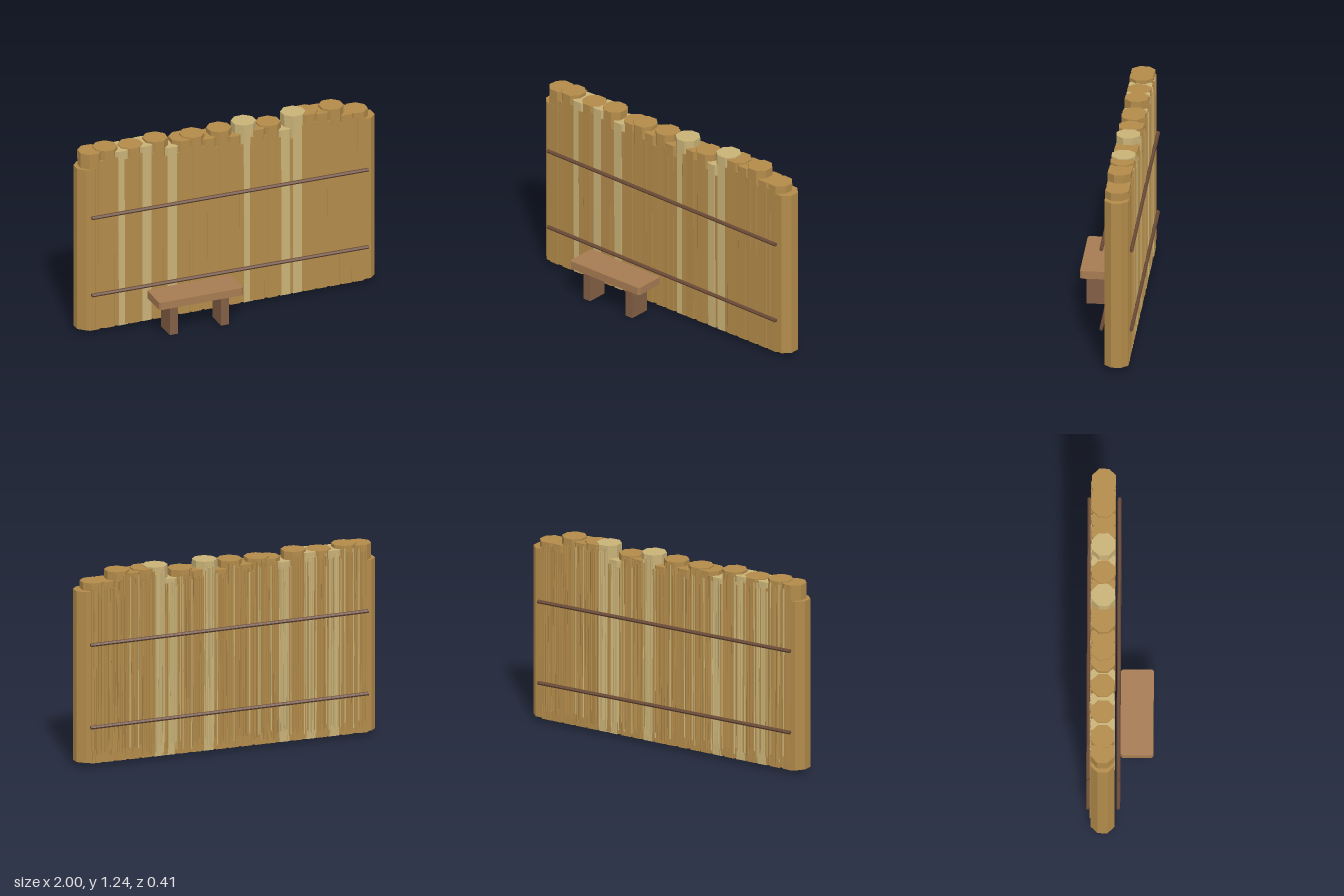
import * as THREE from 'three';
import { mergeGeometries } from 'three/addons/utils/BufferGeometryUtils.js';

// small seeded generator
function seeded(seed) {
  return () => (seed = (seed * 16807) % 2147483647) / 2147483647;
}

function material(name, color) {
  const m = new THREE.MeshStandardMaterial({ color, flatShading: true });
  m.name = name;
  return m;
}

// upright pole between two heights, slightly leaning about its centre
function pole(x, z, bottom, top, radius, sides, turn, lean) {
  return new THREE.CylinderGeometry(radius, radius, top - bottom, sides)
    .rotateY(turn)
    .rotateZ(lean)
    .translate(x, (top + bottom) / 2, z);
}

export function createModel() {
  const model = new THREE.Group();
  model.name = 'fenceWithBench';
  const rand = seeded(4711);
  const spread = (a) => (rand() * 2 - 1) * a;

  const straw = material('straw', 0xb38b4a);
  const paleStraw = material('paleStraw', 0xc9b277);
  const railWood = material('railWood', 0x6b4a36);
  const seatWood = material('seatWood', 0xa67b52);
  const legWood = material('legWood', 0x835f45);

  const add = (name, geometry, mat, parent = model) => {
    const mesh = new THREE.Mesh(geometry, mat);
    mesh.name = name;
    parent.add(mesh);
    return mesh;
  };

  // main bundles: x, top height, pale (1) or not (0)
  const bundles = [
    [-0.9, 1.23, 0], [-0.8, 1.237, 0], [-0.71, 1.215, 1], [-0.63, 1.222, 0],
    [-0.55, 1.22, 1], [-0.465, 1.235, 0], [-0.378, 1.18, 1], [-0.29, 1.208, 0],
    [-0.215, 1.217, 0], [-0.125, 1.19, 0], [-0.035, 1.222, 0], [0.045, 1.175, 0],
    [0.132, 1.237, 1], [0.21, 1.19, 0], [0.297, 1.2, 0], [0.385, 1.155, 1],
    [0.463, 1.237, 1], [0.546, 1.23, 0], [0.632, 1.22, 0], [0.718, 1.234, 0],
    [0.8, 1.18, 0], [0.88, 1.18, 0],
  ];
  const fenceZ = -0.104, base = 0.022;
  const dark = [], pale = [];

  bundles.forEach(([x, top, light], i) => {
    const turn = Math.PI / 8 + spread(0.06);
    (light ? pale : dark).push(pole(x, fenceZ, base, top, 0.079, 8, turn, spread(0.004)));
    // shorter bundle filling the groove to the next one
    if (i < bundles.length - 1) {
      const next = bundles[i + 1];
      const low = Math.min(top, next[1]) - 0.03 - rand() * 0.04;
      dark.push(pole((x + next[0]) / 2, fenceZ, base + 0.005, low, 0.078, 8,
        Math.PI / 8 + spread(0.06), spread(0.004)));
    }
  });
  // end bundles
  for (const side of [-1, 1]) {
    dark.push(pole(side * 0.925, fenceZ, 0.03, 1.13, 0.081, 8, Math.PI / 8, 0));
  }
  add('bundles', mergeGeometries(dark), straw);
  add('paleBundles', mergeGeometries(pale), paleStraw);

  // thin loose reeds covering the back
  const reeds = [], paleReeds = [];
  for (let x = -0.92; x < 0.92; x += 0.0095) {
    const near = bundles.reduce((a, b) => (Math.abs(b[0] - x) < Math.abs(a[0] - x) ? b : a));
    const light = rand() < (near[2] ? 0.75 : 0.1);
    const bottom = 0.04 + rand() * 0.07;
    const top = near[1] - 0.01 - rand() * 0.05;
    const reed = pole(x + spread(0.003), -0.179 + spread(0.002), bottom, top,
      0.0045, 5, rand() * 6, spread(0.004));
    (light ? paleReeds : reeds).push(reed);
  }
  add('backReeds', mergeGeometries(reeds), straw);
  add('paleBackReeds', mergeGeometries(paleReeds), paleStraw);

  // binding rails, front and back
  for (const z of [-0.007, -0.194]) {
    for (const y of [0.798, 0.267]) {
      const rail = add('rail', new THREE.CylinderGeometry(0.012, 0.012, 1.86, 6), railWood);
      rail.rotation.z = Math.PI / 2 - 0.009;
      rail.position.set(0, y, z);
    }
  }

  // bench
  const bench = new THREE.Group();
  bench.name = 'bench';
  bench.position.set(-0.283, 0, 0.107);
  model.add(bench);
  // seat slab with slightly cut corners
  const w = 0.283, d = 0.102, c = 0.012;
  const outline = new THREE.Shape([
    [-w + c, -d], [w - c, -d], [w, -d + c], [w, d - c],
    [w - c, d], [-w + c, d], [-w, d - c], [-w, -d + c],
  ].map(([x, y]) => new THREE.Vector2(x, y)));
  const slab = new THREE.ExtrudeGeometry(outline, { depth: 0.05, bevelEnabled: false })
    .rotateX(-Math.PI / 2).translate(0, 0.2, 0);
  add('seat', slab, seatWood, bench);
  for (const side of [-1, 1]) {
    add('leg', new THREE.BoxGeometry(0.055, 0.2, 0.137), legWood, bench)
      .position.set(side * 0.172, 0.1, 0);
  }

  return model;
}
